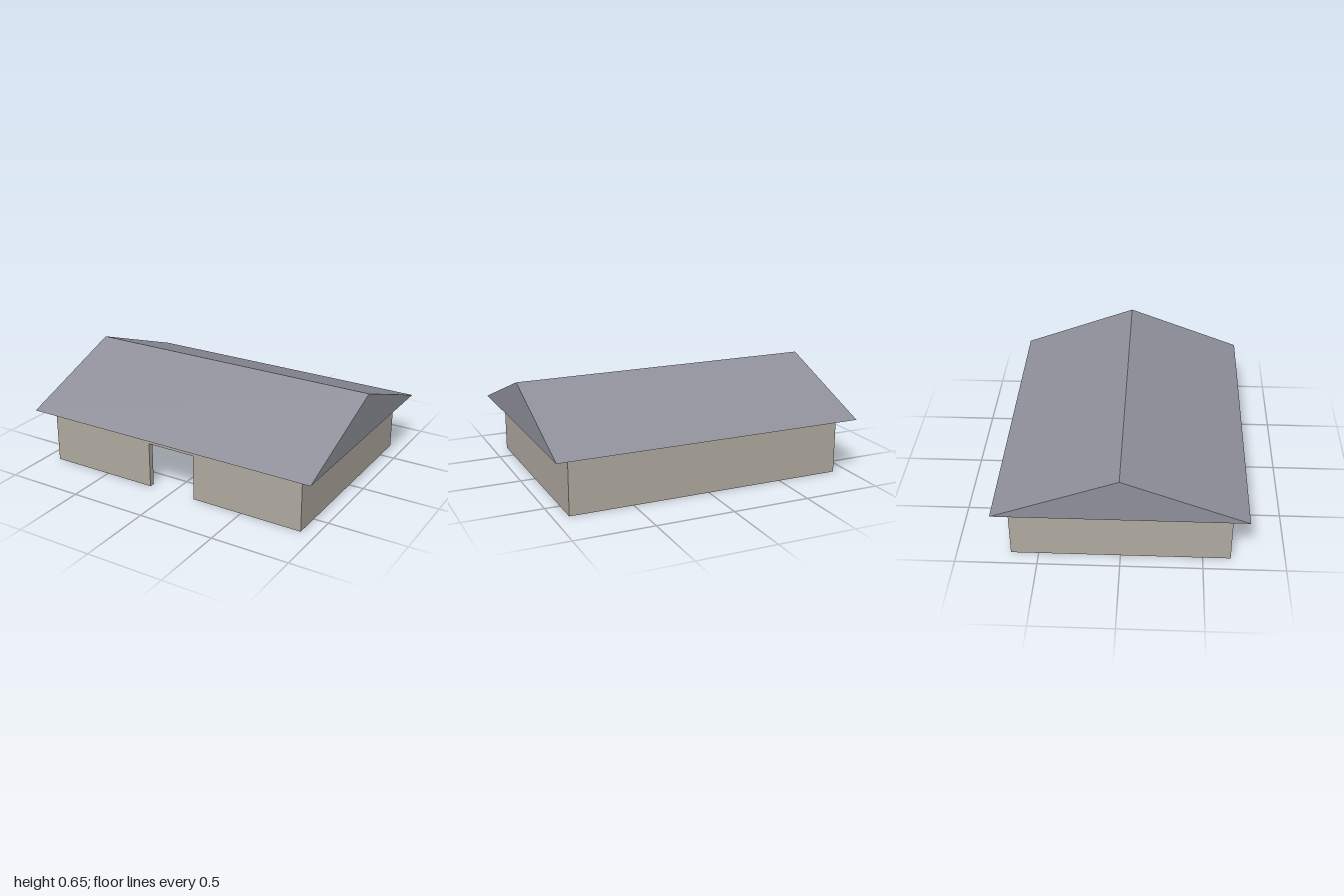
import * as THREE from 'three';

const WALL_X = 0.905, WALL_Z = 0.67, WALL_TOP = 0.357, THICK = 0.036;
const DOOR_HALF = 0.163, DOOR_TOP = 0.297;
const ROOF_Z = 0.76, EAVE = 0.366, RIDGE = 0.648;

// Upright wall slab, outer face at z = 0, ends mitred so the corners join cleanly
function wallGeometry(half, hasDoor) {
  const outline = [[-half, 0]];
  if (hasDoor) {
    outline.push([-DOOR_HALF, 0], [-DOOR_HALF, DOOR_TOP], [DOOR_HALF, DOOR_TOP], [DOOR_HALF, 0]);
  }
  outline.push([half, 0], [half, WALL_TOP], [-half, WALL_TOP]);
  const shape = new THREE.Shape(outline.map(([x, y]) => new THREE.Vector2(x, y)));
  const geometry = new THREE.ExtrudeGeometry(shape, { depth: THICK, bevelEnabled: false });
  geometry.translate(0, 0, -THICK);
  const p = geometry.attributes.position;
  for (let i = 0; i < p.count; i++) {
    const x = p.getX(i);
    if (p.getZ(i) < -THICK / 2 && Math.abs(x) > half - 1e-4) p.setX(i, Math.sign(x) * (half - THICK));
  }
  geometry.computeVertexNormals();
  return geometry;
}

export function createModel() {
  const model = new THREE.Group();
  model.name = 'house';

  const wallMaterial = new THREE.MeshStandardMaterial({ color: 0xb0aaa0 });
  wallMaterial.name = 'warm grey wall';
  const roofMaterial = new THREE.MeshStandardMaterial({ color: 0x90909b });
  roofMaterial.name = 'slate grey roof';

  // Four walls, the front one with the doorway, open underneath
  const walls = new THREE.Group();
  walls.name = 'walls';
  const sides = [
    ['frontWall', WALL_X, WALL_Z, 0, true],
    ['leftWall', WALL_Z, WALL_X, Math.PI / 2, false],
    ['backWall', WALL_X, WALL_Z, Math.PI, false],
    ['rightWall', WALL_Z, WALL_X, -Math.PI / 2, false],
  ];
  for (const [name, half, distance, turn, hasDoor] of sides) {
    const wall = new THREE.Mesh(wallGeometry(half, hasDoor), wallMaterial);
    wall.name = name;
    wall.rotation.y = turn;
    wall.position.set(Math.sin(turn) * distance, 0, Math.cos(turn) * distance);
    walls.add(wall);
  }
  model.add(walls);

  // Solid gable roof, set just clear of the walls
  const gable = new THREE.Shape([
    new THREE.Vector2(-ROOF_Z, EAVE),
    new THREE.Vector2(ROOF_Z, EAVE),
    new THREE.Vector2(0, RIDGE),
  ]);
  const roofGeometry = new THREE.ExtrudeGeometry(gable, { depth: 2, bevelEnabled: false });
  roofGeometry.translate(0, 0, -1);
  roofGeometry.rotateY(Math.PI / 2);
  const roof = new THREE.Mesh(roofGeometry, roofMaterial);
  roof.name = 'roof';
  model.add(roof);

  return model;
}
